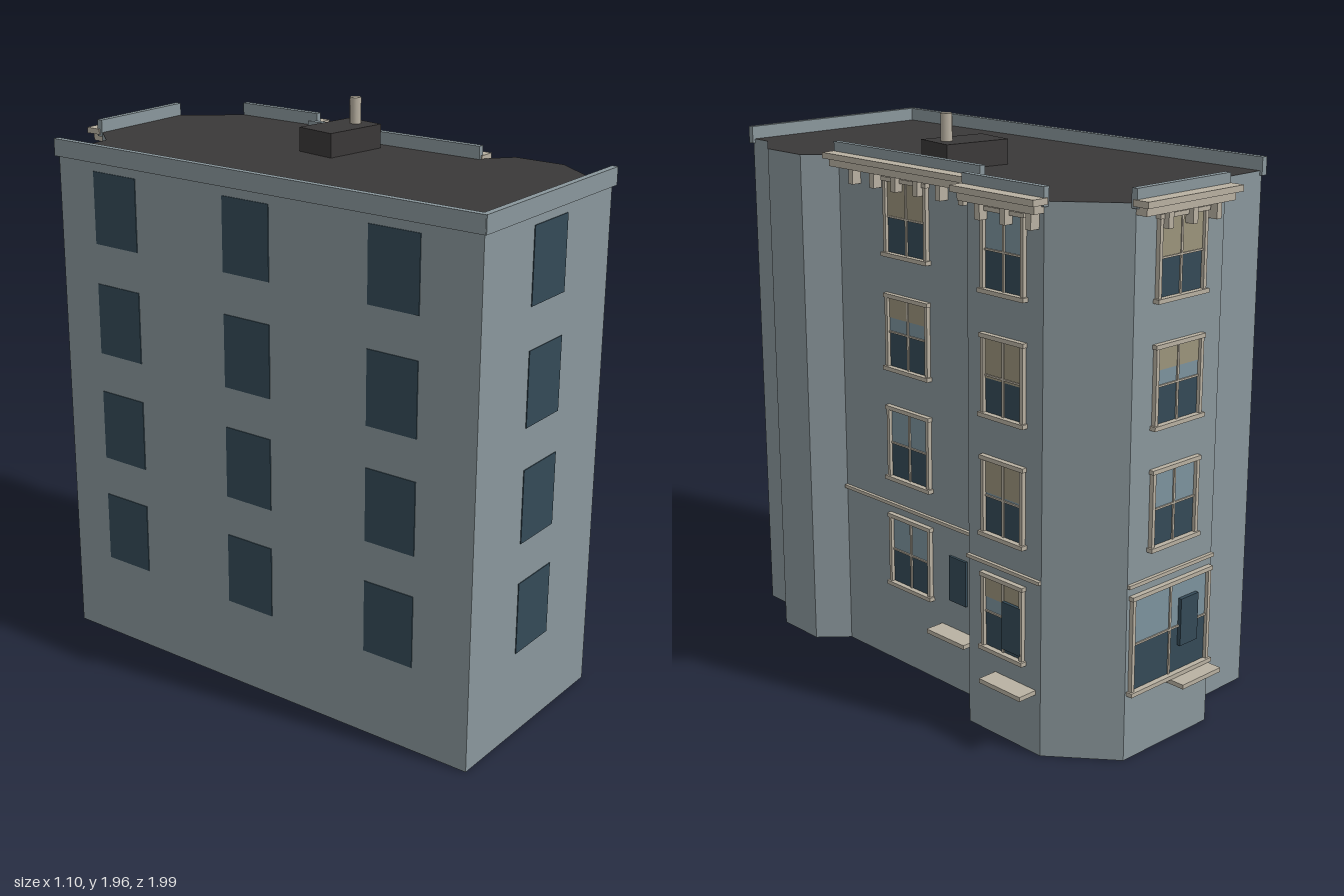
import * as THREE from 'three';

const mat = (name, color) => Object.assign(new THREE.MeshStandardMaterial({ color }), { name });

export function createModel() {
  const model = new THREE.Group();
  model.name = 'cornerBuilding';
  const wall = mat('blue grey wall', 0x8a979c);
  const roof = mat('dark roof', 0x3a3838);
  const trim = mat('stone trim', 0xb9b1a2);
  const glass = mat('dark glass', 0x344a57);
  const paleGlass = mat('pale glass', 0x7d939e);
  const blind = mat('tan blind', 0x9c947c);

  // box spanning heights y0..y1 and depths z0..z1, centred on x
  const box = (parent, name, m, x, w, y0, y1, z0, z1) => {
    const mesh = new THREE.Mesh(new THREE.BoxGeometry(w, y1 - y0, z1 - z0), m);
    mesh.position.set(x, (y0 + y1) / 2, (z0 + z1) / 2);
    mesh.name = name;
    parent.add(mesh);
    return mesh;
  };

  // footprint corners as [x, z]
  const P = {
    A: [-0.54, -0.705], B: [-0.31, -0.745], C: [-0.235, -0.87], D: [0.16, -0.93],
    E: [0.36, -0.755], F: [0.412, -0.43], G: [0.298, -0.335], H: [0.41, 0.36],
    I: [0.52, 0.43], J: [0.548, 0.615], K: [0.465, 0.78], L: [0.477, 0.865], M: [-0.272, 0.985],
  };
  const ROOF_Y = 1.79;
  const outline = new THREE.Shape(Object.values(P).map(([x, z]) => new THREE.Vector2(x, -z)));
  const bodyGeo = new THREE.ExtrudeGeometry(outline, { depth: ROOF_Y, bevelEnabled: false });
  bodyGeo.rotateX(-Math.PI / 2);
  const body = new THREE.Mesh(bodyGeo, [roof, wall]);
  body.name = 'wallsAndRoof';
  model.add(body);

  // local frame on a wall: x runs from p to q as seen from outside, z points out
  const facade = (name, p, q) => {
    const g = new THREE.Group();
    const dx = q[0] - p[0], dz = q[1] - p[1];
    g.position.set((p[0] + q[0]) / 2, 0, (p[1] + q[1]) / 2);
    g.rotation.y = Math.atan2(-dz, dx);
    g.name = name;
    g.userData.width = Math.hypot(dx, dz);
    model.add(g);
    // low parapet along the top of the wall
    box(g, 'parapet', wall, 0, g.userData.width + 0.02, 1.775, 1.835, -0.01, 0.012);
    return g;
  };

  const FLOORS = [0.305, 0.7, 1.095, 1.49];

  // plain side walls with flat windows
  const plainWindows = (g, xs, w) => {
    for (const x of xs) for (const y of FLOORS) box(g, 'plainWindow', glass, x, w, y, y + 0.253, -0.004, 0.003);
  };
  plainWindows(facade('frontWall', P.M, P.L), [0], 0.197);
  const left = facade('leftWall', P.A, P.M);
  plainWindows(left, [0.15, 0.482, 0.818].map((t) => (t - 0.5) * left.userData.width), 0.19);

  // sash window; blindDrop is how far the blind covers the window, as a fraction
  const sashWindow = (parent, w, y0, y1, blindDrop) => {
    const g = new THREE.Group();
    g.name = 'sashWindow';
    parent.add(g);
    const h = y1 - y0, mid = y0 + h / 2, t = 0.013;
    box(g, 'lowerGlass', glass, 0, w, y0, mid, -0.004, 0.003);
    box(g, 'upperGlass', paleGlass, 0, w, mid, y1, -0.004, 0.003);
    if (blindDrop > 0) box(g, 'blind', blind, 0, w - 0.004, y1 - h * blindDrop, y1, 0, 0.005);
    box(g, 'meetingRail', trim, 0, w, mid - 0.003, mid + 0.003, 0, 0.008);
    box(g, 'mullion', trim, 0, 0.008, y0, y1, 0, 0.008);
    for (const s of [-1, 1]) box(g, 'jamb', trim, s * (w / 2 + t / 2 - 0.002), t, y0, y1, 0, 0.015);
    box(g, 'head', trim, 0, w + 0.03, y1 - 0.004, y1 + 0.01, 0, 0.018);
    box(g, 'windowSill', trim, 0, w + 0.036, y0 - 0.011, y0 + 0.003, 0, 0.022);
  };

  // decorated walls: cornice, brackets, belt, windows, wall panel with ledge
  const decorate = (g, o) => {
    const W = g.userData.width;
    box(g, 'corniceTop', trim, 0, W + 0.03, 1.782, 1.802, 0, 0.06);
    box(g, 'corniceBase', trim, 0, W, 1.755, 1.782, 0, 0.042);
    for (let i = 0; i < o.brackets; i++) {
      const x = (i - (o.brackets - 1) / 2) * 0.109 + 0.025;
      box(g, 'bracket', trim, x, 0.022, 1.705, 1.755, 0, 0.035);
    }
    box(g, 'beltCourse', trim, 0, W, 0.59, 0.602, 0, 0.012);
    FLOORS.forEach((y, i) => {
      const shop = i === 0 && o.shopWidth;
      sashWindow(g, shop || o.windowWidth, shop ? 0.235 : y, y + 0.247, o.blinds[i]);
    });
    box(g, 'wallPanel', glass, o.panelX, 0.083, 0.325, 0.488, 0, o.panelDepth);
    box(g, 'ledge', trim, o.panelX + 0.005, 0.185, 0.208, 0.223, 0, 0.072);
  };

  decorate(facade('rightWall', P.H, P.G), {
    brackets: 6, windowWidth: 0.192, blinds: [0, 0, 0.3, 0.5], panelX: 0.24, panelDepth: 0.009,
  });
  decorate(facade('rightBay', P.F, P.E), {
    brackets: 3, windowWidth: 0.165, blinds: [0.3, 0.46, 0.54, 0], panelX: 0.046, panelDepth: 0.016,
  });
  decorate(facade('backBay', P.D, P.C), {
    brackets: 3, windowWidth: 0.195, shopWidth: 0.35, blinds: [0, 0, 0.3, 0.5], panelX: 0.083, panelDepth: 0.016,
  });

  // rooftop housing and vent pipe
  box(model, 'roofHousing', roof, 0.176, 0.238, ROOF_Y - 0.01, 1.873, -0.14, 0.014);
  const pipe = new THREE.Mesh(new THREE.CylinderGeometry(0.02, 0.02, 0.1, 10), trim);
  pipe.position.set(0.245, 1.913, -0.06);
  pipe.name = 'ventPipe';
  model.add(pipe);

  return model;
}
